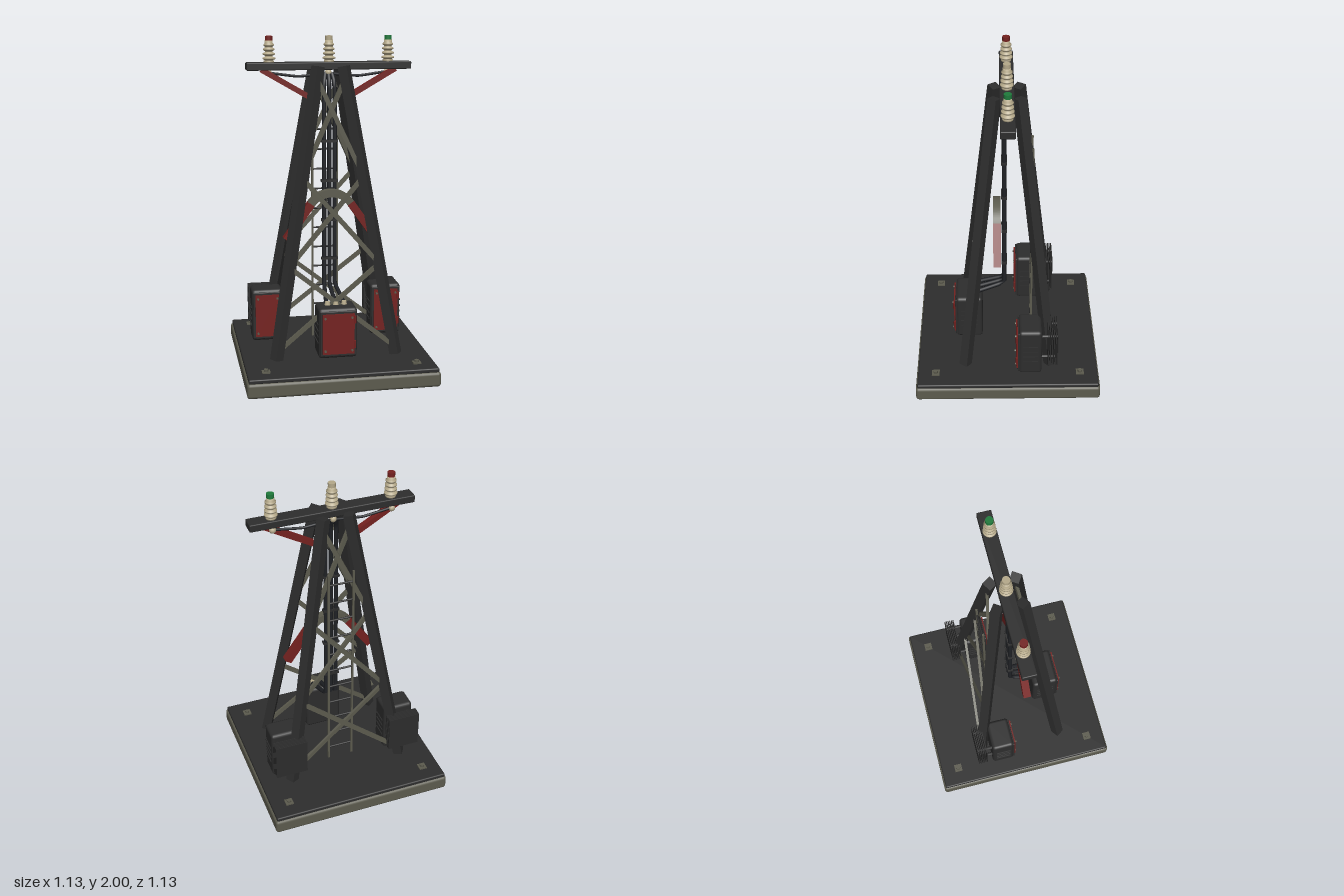
import * as THREE from 'three';
import { RoundedBoxGeometry } from 'three/addons/geometries/RoundedBoxGeometry.js';

const mat = (name, color) => {
  const m = new THREE.MeshStandardMaterial({ color });
  m.name = name;
  return m;
};

export function createModel() {
  const root = new THREE.Group();
  root.name = 'transformerTower';
  const dark = mat('darkSteel', 0x2d2d2d);
  const black = mat('blackRubber', 0x202226);
  const olive = mat('oliveSteel', 0x5c5b4e);
  const red = mat('redPaint', 0x74211f);
  const cream = mat('ceramic', 0xb5a98a);
  const green = mat('greenCap', 0x1f7a3c);
  const V = (x, y, z) => new THREE.Vector3(x, y, z);

  const add = (name, geo, material, x = 0, y = 0, z = 0, parent = root) => {
    const m = new THREE.Mesh(geo, material);
    m.name = name;
    m.position.set(x, y, z);
    parent.add(m);
    return m;
  };
  const box = (name, w, h, d, material, x, y, z, parent) =>
    add(name, new THREE.BoxGeometry(w, h, d), material, x, y, z, parent);
  const rbox = (name, w, h, d, r, material, x, y, z, parent) =>
    add(name, new RoundedBoxGeometry(w, h, d, 2, r), material, x, y, z, parent);
  // Square bar from a to b, width w across and thickness t
  const bar = (name, a, b, w, t, material) => {
    const m = box(name, w, t, a.distanceTo(b), material, 0, 0, 0);
    m.position.copy(a).add(b).multiplyScalar(0.5);
    m.lookAt(b);
    return m;
  };
  const tube = (name, points, r, material) =>
    add(name, new THREE.TubeGeometry(new THREE.CatmullRomCurve3(points, false, 'catmullrom', 0.15), 32, r, 8), material);

  // Base slab, deck and anchor bolts
  rbox('baseSlab', 1.13, 0.09, 1.13, 0.018, olive, 0, 0.045, 0);
  rbox('deckPlate', 1.11, 0.027, 1.11, 0.008, dark, 0, 0.099, 0);
  for (const sx of [-1, 1]) for (const sz of [-1, 1]) {
    box('anchorPlate', 0.048, 0.008, 0.048, olive, sx * 0.445, 0.116, sz * 0.445);
    add('anchorBolt', new THREE.CylinderGeometry(0.014, 0.014, 0.014, 6), olive, sx * 0.445, 0.126, sz * 0.445);
  }

  // Four leaning legs
  const legAt = (y, sx, sz) => {
    const t = (y - 0.12) / 1.71;
    return V(sx * (0.36 - 0.285 * t), y, sz * (0.262 - 0.192 * t));
  };
  for (const sx of [-1, 1]) for (const sz of [-1, 1])
    bar('leg', legAt(0.115, sx, sz), legAt(1.825, sx, sz), 0.056, 0.056, dark);

  // Cross braces on the front and back faces
  const levels = [0.16, 0.66, 1.18, 1.76];
  for (const sz of [-1, 1]) for (let i = 0; i < 3; i++) for (const sx of [-1, 1]) {
    const a = legAt(levels[i], sx, sz), b = legAt(levels[i + 1], -sx, sz);
    a.z += sx * 0.006;
    b.z += sx * 0.006;
    bar('crossBrace', a, b, 0.016, 0.026, olive);
  }

  // Crossbeam with its two struts
  rbox('crossbeam', 0.98, 0.045, 0.084, 0.006, dark, 0, 1.825, 0);
  for (const s of [-1, 1])
    bar('beamStrut', V(s * 0.4, 1.805, 0), V(s * 0.115, 1.64, 0), 0.034, 0.032, red);

  // Ribbed insulators with coloured caps, hanging knobs below
  const profile = [[0, 0], [0.03, 0], [0.03, 0.012]];
  for (let i = 0; i < 4; i++) {
    const y = 0.016 + i * 0.026, r = 0.038 - i * 0.0022;
    profile.push([0.023, y], [r, y + 0.006], [r, y + 0.013], [0.023, y + 0.02]);
  }
  profile.push([0.023, 0.13], [0, 0.13]);
  const insulator = new THREE.LatheGeometry(profile.map(p => new THREE.Vector2(...p)), 20);
  [[-0.355, red], [0, cream], [0.355, green]].forEach(([x, capColor]) => {
    add('insulator', insulator, cream, x, 1.845, 0);
    add('insulatorCap', new THREE.CylinderGeometry(0.022, 0.022, 0.028, 16), capColor, x, 1.986, 0);
    add('cableKnob', new THREE.SphereGeometry(0.02, 12, 8), cream, x, 1.783, -0.022);
  });
  for (const s of [-1, 1])
    tube('beamCable', [V(s * 0.355, 1.785, -0.022), V(s * 0.18, 1.762, -0.022), V(0, 1.778, -0.022)], 0.008, black);

  // Three down cables running into the front cabinet
  for (const s of [-1, 0, 1]) {
    tube('downCable', [V(s * 0.02, 1.78, -0.02), V(s * 0.032, 1.7, 0.015), V(s * 0.032, 1.1, 0.017),
      V(s * 0.032, 0.52, 0.017), V(s * 0.034, 0.495, 0.03), V(s * 0.05, 0.445, 0.18), V(s * 0.05, 0.43, 0.23)], 0.013, black);
    add('cabinetBushing', new THREE.CylinderGeometry(0.014, 0.02, 0.03, 12), cream, s * 0.05, 0.435, 0.232);
  }
  for (const y of [0.66, 0.9, 1.14, 1.38]) box('cableClamp', 0.1, 0.014, 0.034, dark, 0, y, 0.017);

  // Ladder
  for (const s of [-1, 1]) box('ladderRail', 0.012, 1.39, 0.012, olive, s * 0.077, 0.805, -0.152);
  for (let i = 0; i < 11; i++) {
    const rung = add('ladderRung', new THREE.CylinderGeometry(0.006, 0.006, 0.154, 8), dark, 0, 0.2 + i * 0.123, -0.152);
    rung.rotation.z = Math.PI / 2;
  }

  // Horseshoe: arched yoke with two red arms
  const ang = 0.96, R = 0.146, half = 0.023;
  const arch = new THREE.Shape();
  arch.absarc(0, 0, R + half, Math.PI / 2 - ang, Math.PI / 2 + ang, false);
  arch.absarc(0, 0, R - half, Math.PI / 2 + ang, Math.PI / 2 - ang, true);
  add('yoke', new THREE.ExtrudeGeometry(arch, { depth: 0.046, bevelEnabled: false, curveSegments: 20 }), olive, 0, 0.926, 0.038);
  for (const s of [-1, 1])
    bar('yokeArm', V(s * 0.12, 1.01, 0.061), V(s * 0.27, 0.797, 0.061), 0.046, 0.046, red);

  // Equipment cabinet facing +z, centred on its own footprint
  const cabinet = (name, w, h, d, x, z, finned) => {
    const g = new THREE.Group();
    g.name = name;
    g.position.set(x, 0.125, z);
    root.add(g);
    rbox('housing', w, h, d, 0.02, dark, 0, h / 2, 0, g);
    rbox('doorFrame', w - 0.012, h - 0.03, 0.012, 0.004, dark, 0, h / 2, d / 2, g);
    box('door', w - 0.04, h - 0.06, 0.014, red, 0, h / 2, d / 2 + 0.008, g);
    for (const sx of [-1, 1]) {
      for (const sy of [-1, 1]) {
        const bolt = add('doorBolt', new THREE.CylinderGeometry(0.007, 0.007, 0.012, 8), olive,
          sx * (w / 2 - 0.035), h / 2 + sy * (h / 2 - 0.052), d / 2 + 0.017, g);
        bolt.rotation.x = Math.PI / 2;
      }
      for (let i = 0; i < 4; i++)
        box('louver', 0.012, 0.008, d * 0.65, dark, sx * w / 2, h * 0.3 + i * 0.038, 0, g);
    }
    for (const sy of [0.28, 0.78])
      add('hinge', new THREE.CylinderGeometry(0.008, 0.008, 0.045, 8), red, w / 2 - 0.018, h * sy, d / 2 + 0.012, g);
    if (!finned) return;
    // Radiator fins behind the housing
    for (let i = 0; i < 6; i++)
      box('radiatorFin', 0.2, 0.235, 0.006, dark, 0, 0.19, -d / 2 - 0.04 - i * 0.011, g);
    for (const y of [0.11, 0.27]) for (const sx of [-1, 1]) {
      const pipe = add('radiatorPipe', new THREE.CylinderGeometry(0.01, 0.01, 0.1, 8), dark, sx * 0.06, y, -d / 2 - 0.045, g);
      pipe.rotation.x = Math.PI / 2;
    }
  };
  cabinet('frontCabinet', 0.23, 0.305, 0.165, 0, 0.239, false);
  for (const s of [-1, 1]) cabinet('rearCabinet', 0.19, 0.325, 0.14, s * 0.373, -0.137, true);

  return root;
}
